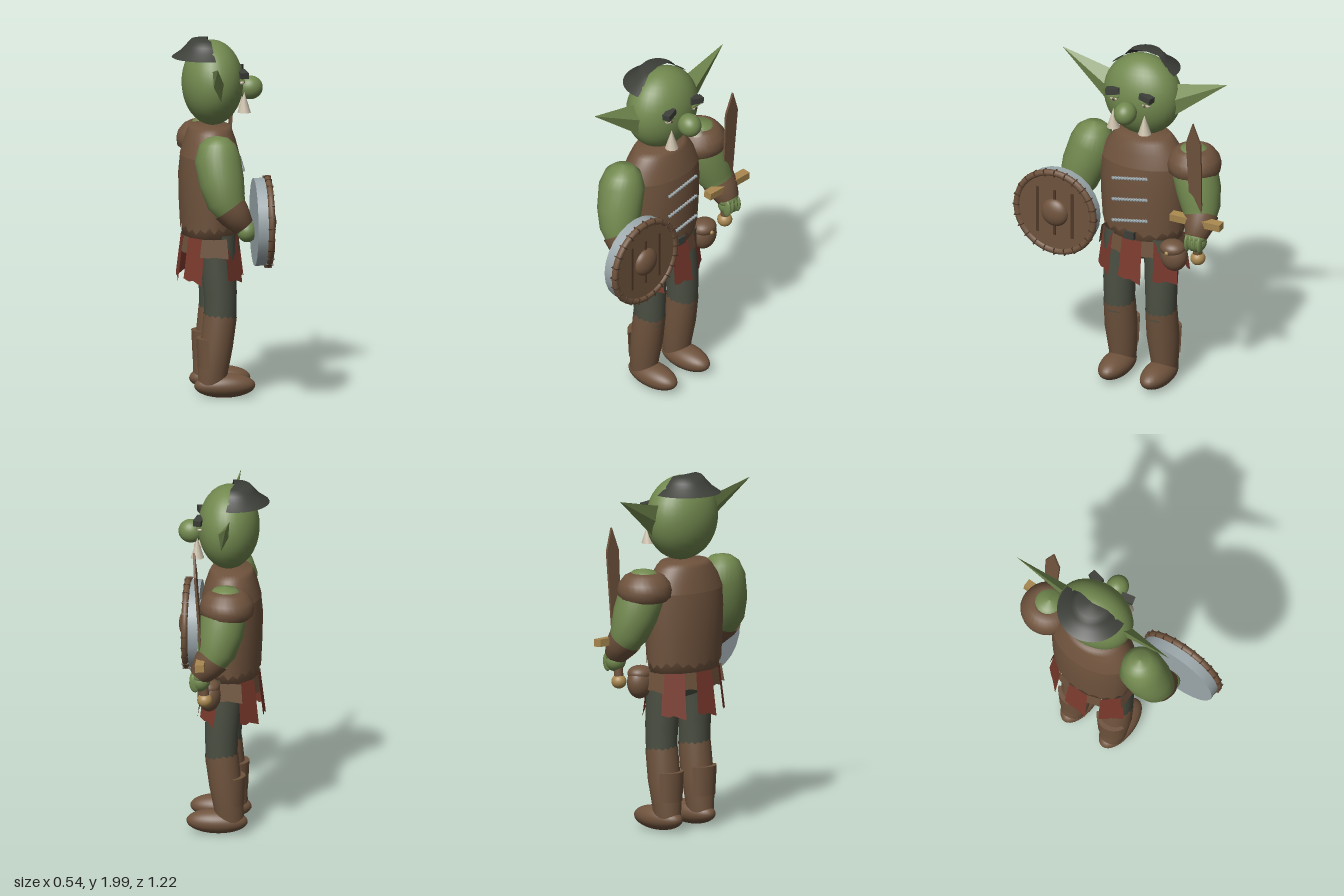
import * as THREE from 'three';
import { ConvexGeometry } from 'three/addons/geometries/ConvexGeometry.js';

const CX = -0.06, CZ = -0.06; // body axis; the figure faces +x

const mat = (name, color, side = THREE.FrontSide) => {
  const m = new THREE.MeshStandardMaterial({ color, side });
  m.name = name;
  return m;
};

// Tube through rings [x, y, z, radiusZ, radiusX, zigzag]
function loft(rings, seg = 32) {
  const pos = [], index = [], n = rings.length;
  const P = rings.map(r => new THREE.Vector3(r[0], r[1], r[2]));
  rings.forEach((r, i) => {
    const t = P[Math.min(i + 1, n - 1)].clone().sub(P[Math.max(i - 1, 0)]).normalize();
    const u = new THREE.Vector3(0, 0, 1).addScaledVector(t, -t.z).normalize();
    const v = t.clone().cross(u);
    for (let j = 0; j < seg; j++) {
      const a = j / seg * Math.PI * 2;
      const jag = (r[5] || 0) * (j % 2 ? 1 : -1) * (1 + 0.6 * Math.sin(j * 2.3));
      const p = P[i].clone().addScaledVector(u, Math.cos(a) * r[3])
        .addScaledVector(v, Math.sin(a) * r[4]).addScaledVector(t, jag);
      pos.push(p.x, p.y, p.z);
      if (i < n - 1) {
        const k = (j + 1) % seg, A = i * seg, B = A + seg;
        index.push(A + j, A + k, B + k, A + j, B + k, B + j);
      }
    }
  });
  const g = new THREE.BufferGeometry();
  g.setAttribute('position', new THREE.Float32BufferAttribute(pos, 3));
  g.setIndex(index);
  g.computeVertexNormals();
  return g;
}

export function createModel() {
  const model = new THREE.Group();
  const D = THREE.DoubleSide;
  const skin = mat('green skin', 0x72894f), leather = mat('brown leather', 0x6f533d, D);
  const dark = mat('dark leather', 0x4e3828), cloth = mat('red cloth', 0x7b3a2d, D);
  const pants = mat('grey green trousers', 0x4b4f42), hair = mat('dark hair', 0x3d3f39, D);
  const steel = mat('pale steel', 0x9ca8ac), gold = mat('brass', 0xa98850);
  const ivory = mat('ivory', 0xc8bda8);

  const add = (name, geo, m, x = 0, y = 0, z = 0, parent = model) => {
    const mesh = new THREE.Mesh(geo, m);
    mesh.name = name;
    mesh.position.set(x, y, z);
    parent.add(mesh);
    return mesh;
  };
  const ball = (name, m, x, y, z, rx, ry, rz, parent) =>
    add(name, new THREE.SphereGeometry(1, 32, 20).scale(rx, ry, rz), m, x, y, z, parent);
  const box = (w, h, d) => new THREE.BoxGeometry(w, h, d);
  const cyl = (a, b, h, n = 16) => new THREE.CylinderGeometry(a, b, h, n);

  // Head, nose and swept-back hair
  ball('head', skin, -0.045, 1.755, CZ, 0.17, 0.236, 0.228);
  ball('nose', skin, 0.165, 1.722, CZ, 0.07, 0.066, 0.062);
  const hairLine = [[0.195, 1.9], [0.145, 1.935], [0.118, 1.965], [0.09, 1.997], [0, 2]]
    .map(p => new THREE.Vector2(...p));
  add('hair', new THREE.LatheGeometry(hairLine, 32, Math.PI - 0.16, Math.PI + 0.32), hair, -0.075, 0, CZ);

  for (const s of [1, -1]) {
    const side = s > 0 ? 'left' : 'right';
    const Z = d => CZ + s * d;
    // Face details
    ball(side + 'Eye', ivory, 0.105, 1.768, Z(0.1), 0.018, 0.014, 0.026);
    ball(side + 'Pupil', dark, 0.12, 1.768, Z(0.097), 0.006, 0.008, 0.008);
    add(side + 'Eyelid', box(0.03, 0.01, 0.06), skin, 0.108, 1.783, Z(0.1));
    const brow = add(side + 'Brow', box(0.045, 0.034, 0.078), hair, 0.112, 1.816, Z(0.105));
    brow.rotation.set(s * 0.15, s * 0.25, 0);
    add(side + 'Tusk', new THREE.ConeGeometry(0.038, 0.115, 10), ivory, 0.122, 1.657, Z(0.097));
    // Long thin ear
    add(side + 'Ear', new ConvexGeometry([
      [-0.065, 1.845, 0.19], [-0.015, 1.66, 0.19], [0.0, 1.77, 0.2], [-0.06, 1.75, 0.2], [-0.07, 1.913, 0.515],
    ].map(p => new THREE.Vector3(p[0], p[1], Z(p[2])))), skin);

    // Arm, bracer and hand
    const limb = rows => loft(rows.map(([x, y, d, r]) => [x, y, Z(d), r, r]), 28);
    add(side + 'Arm', limb([[-0.05, 1.508, 0.305, 0.001], [-0.05, 1.495, 0.305, 0.06], [-0.05, 1.46, 0.307, 0.1],
      [-0.05, 1.38, 0.315, 0.128], [-0.03, 1.25, 0.355, 0.125], [-0.008, 1.15, 0.38, 0.108],
      [0.03, 1.08, 0.395, 0.08], [0.09, 1.0, 0.395, 0.048]]), skin);
    add(side + 'Bracer', limb([[0.01, 1.115, 0.39, 0.097], [0.04, 1.073, 0.396, 0.087],
      [0.085, 1.012, 0.396, 0.062], [0.09, 1.005, 0.396, 0.03]]), leather);
    ball(side + 'Hand', skin, s > 0 ? 0.105 : 0.08, 0.985, Z(0.397), 0.055, 0.06, 0.06);

    // Trousers, boot, shoe and calf patch
    add(side + 'TrouserLeg', loft([[-0.035, 0.92, Z(0.12), 0.1, 0.105], [-0.03, 0.8, Z(0.125), 0.098, 0.1],
      [-0.015, 0.6, Z(0.13), 0.09, 0.092], [-0.015, 0.42, Z(0.13), 0.083, 0.088]]), pants);
    add(side + 'Boot', loft([[-0.06, 0.08, Z(0.13), 0.07, 0.08], [-0.055, 0.16, Z(0.13), 0.08, 0.083],
      [-0.035, 0.3, Z(0.13), 0.092, 0.09], [-0.015, 0.47, Z(0.13), 0.088, 0.093, 0.006]]), leather);
    ball(side + 'Shoe', leather, 0.01, 0.075, Z(0.13), 0.17, 0.068, 0.083);
    add(side + 'CalfPatch', new THREE.CylinderGeometry(0.098, 0.09, 0.165, 16, 1, false, Math.PI * 1.12, Math.PI * 0.76),
      leather, -0.05, 0.262, Z(0.13));
  }

  // Torso: hip block, ragged tunic and chest yoke
  add('hips', loft([[-0.05, 0.74, CZ, 0.001, 0.001], [-0.05, 0.78, CZ, 0.16, 0.1], [-0.05, 0.93, CZ, 0.22, 0.14]]), pants);
  add('belt', loft([[CX, 0.898, CZ, 0.14, 0.09], [CX, 0.9, CZ, 0.228, 0.152], [CX, 1.0, CZ, 0.236, 0.158]]), leather);
  add('tunic', loft([[CX, 0.955, CZ, 0.242, 0.163, 0.014], [CX, 1.1, CZ, 0.252, 0.17],
    [CX, 1.25, CZ, 0.257, 0.173], [CX, 1.36, CZ, 0.255, 0.162]], 40), leather);
  add('yoke', loft([[CX, 1.355, CZ, 0.257, 0.164], [CX, 1.43, CZ, 0.225, 0.145], [CX, 1.49, CZ, 0.18, 0.125],
    [CX, 1.515, CZ, 0.15, 0.112], [CX, 1.522, CZ, 0.001, 0.001]], 40), leather);
  add('buckle', box(0.03, 0.045, 0.06), hair, 0.1, 0.94, -0.055);

  // Twisted laces across the chest
  for (let i = 0; i < 3; i++) {
    const lace = new THREE.Group();
    lace.name = 'chestLace';
    lace.position.set(0.114, 1.035 + i * 0.13, CZ);
    lace.rotation.x = 0.18;
    model.add(lace);
    add('laceCord', cyl(0.007, 0.007, 0.225, 8).rotateX(Math.PI / 2), steel, 0, 0, 0, lace);
    for (let k = 0; k < 12; k++)
      add('laceTwist', new THREE.TorusGeometry(0.008, 0.004, 6, 10).rotateX(0.5), steel, 0, 0, (k - 5.5) * 0.019, lace);
  }

  // Tattered skirt
  const strip = (deg, w, h, m) => {
    const a = deg * Math.PI / 180, c = Math.cos(a), s = Math.sin(a);
    const shape = new THREE.Shape([[-w * 0.42, 0], [-w * 0.5, -h * 0.88], [-w * 0.2, -h * 0.93], [0, -h * 0.9],
      [w * 0.5, -h], [w * 0.45, 0]].map(p => new THREE.Vector2(...p)));
    const g = new THREE.ShapeGeometry(shape).rotateX(-0.12);
    add('skirtStrip', g, m, CX + 0.153 * c, 0.91, CZ + 0.228 * s).rotation.y = Math.atan2(c / 0.153, s / 0.228);
  };
  for (const d of [0, 50, -50, 128, -128, 180]) strip(d, 0.14, 0.26, cloth);
  for (const d of [90, -90]) strip(d, 0.16, 0.11, leather);
  for (const d of [26, -26, 154, -154]) strip(d, 0.1, 0.1, leather);

  // Belt pouch
  ball('pouch', leather, 0.045, 0.845, -0.3, 0.065, 0.09, 0.078);
  ball('pouchFlap', leather, 0.05, 0.895, -0.295, 0.066, 0.045, 0.073);
  ball('pouchButton', gold, 0.116, 0.885, -0.29, 0.01, 0.012, 0.012);

  // Shoulder guard round the right arm
  const guardLine = [[0.125, 1.33], [0.146, 1.35], [0.152, 1.39], [0.142, 1.43], [0.11, 1.47], [0.075, 1.488], [0.06, 1.47]]
    .map(p => new THREE.Vector2(...p));
  add('shoulderGuard', new THREE.LatheGeometry(guardLine, 28), leather, CX, 0, -0.372);

  // Sword
  const sword = new THREE.Group();
  sword.name = 'sword';
  sword.position.set(0.065, 1.0, -0.455);
  sword.rotation.z = -0.07;
  model.add(sword);
  const blade = new THREE.Shape([[-0.034, 0.1], [0.034, 0.1], [0.046, 0.6], [0, 0.73], [-0.046, 0.6]]
    .map(p => new THREE.Vector2(...p)));
  add('blade', new THREE.ExtrudeGeometry(blade, { depth: 0.012, bevelEnabled: false })
    .translate(0, 0, -0.006).rotateY(Math.PI / 2), leather, 0, 0, 0, sword);
  add('crossguard', box(0.05, 0.042, 0.31), gold, 0, 0.105, 0, sword);
  add('grip', cyl(0.026, 0.026, 0.24), leather, 0, -0.01, 0, sword);
  ball('pommel', gold, 0, -0.13, 0, 0.042, 0.04, 0.042, sword);
  for (let i = 0; i < 4; i++)
    ball('finger', skin, 0.045, -0.005 - Math.abs(i - 1.5) * 0.008, (i - 1.5) * 0.026, 0.03, 0.052, 0.014, sword);
  ball('knuckles', skin, 0.015, 0.02, 0, 0.05, 0.045, 0.064, sword);

  // Round shield, axis along +x
  const shield = new THREE.Group();
  shield.name = 'shield';
  shield.position.set(0, 1.04, 0.35);
  shield.rotation.z = -Math.PI / 2;
  model.add(shield);
  add('shieldBack', cyl(0.244, 0.244, 0.058, 24), steel, 0, 0.171, 0, shield);
  add('shieldFace', cyl(0.235, 0.235, 0.022, 40), leather, 0, 0.211, 0, shield);
  add('shieldRim', new THREE.TorusGeometry(0.239, 0.0185, 10, 48).rotateX(Math.PI / 2), leather, 0, 0.217, 0, shield);
  ball('shieldBoss', leather, 0, 0.22, 0, 0.082, 0.046, 0.082, shield);
  for (const z of [-0.108, 0, 0.108])
    add('shieldGroove', box(0.275, 0.009, 0.015), dark, 0, 0.223, z, shield);
  for (let i = 0; i < 24; i++) {
    const a = i / 24 * Math.PI * 2;
    add('rimSeam', box(0.036, 0.038, 0.006), dark, Math.cos(a) * 0.239, 0.217, Math.sin(a) * 0.239, shield).rotation.y = -a;
  }
  return model;
}
